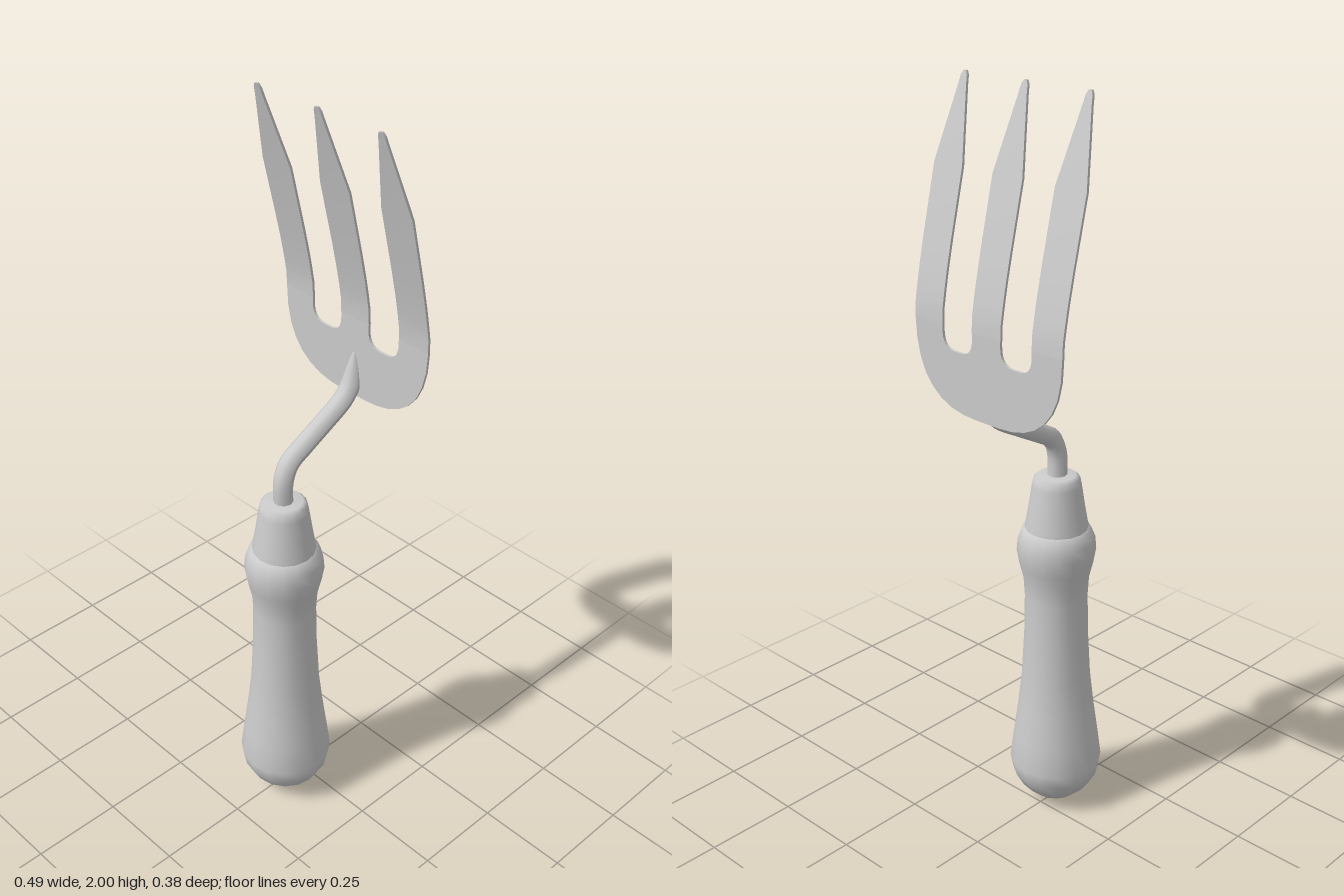
import * as THREE from 'three';

const material = new THREE.MeshStandardMaterial({ color: 0xcccccc });
const HANDLE_Z = 0.061, BLADE_Z = -0.186, THICK = 0.007, SPLIT_Y = 1.42;

function part(name, geometry) {
  const mesh = new THREE.Mesh(geometry, material);
  mesh.name = name;
  return mesh;
}

// Turned part from [radius, height] pairs, bottom to top
function turned(name, profile) {
  const mesh = part(name, new THREE.LatheGeometry(profile.map(([r, y]) => new THREE.Vector2(r, y)), 16));
  mesh.position.z = HANDLE_Z;
  return mesh;
}

// Flat root of the fork with the two rounded slot bottoms
function forkBase() {
  const s = new THREE.Shape();
  s.moveTo(-0.243, SPLIT_Y);
  s.bezierCurveTo(-0.243, 1.26, -0.16, 1.2, -0.04, 1.2);
  s.lineTo(0.04, 1.2);
  s.bezierCurveTo(0.16, 1.2, 0.243, 1.26, 0.243, SPLIT_Y);
  for (const [a, b] of [[0.148, 0.047], [-0.047, -0.148]]) {
    s.lineTo(a, SPLIT_Y);
    s.lineTo(a, 1.405);
    s.quadraticCurveTo(a, 1.36, a - 0.04, 1.36);
    s.lineTo(b + 0.04, 1.36);
    s.quadraticCurveTo(b, 1.36, b, 1.405);
    s.lineTo(b, SPLIT_Y);
  }
  s.closePath();
  const g = new THREE.ExtrudeGeometry(s, { depth: THICK, bevelEnabled: false, curveSegments: 8 });
  return g.translate(0, 0, BLADE_Z - THICK / 2);
}

// Tine: a thin box whose rows follow [height, z, half width]
const rows = [
  [SPLIT_Y, BLADE_Z, 0.0475], [1.46, -0.184, 0.0475], [1.5, -0.177, 0.0475],
  [1.55, -0.167, 0.0475], [1.62, -0.151, 0.0475], [1.79, -0.109, 0.0475],
  [1.97, -0.057, 0.013], [1.99, -0.051, 0.01], [2, -0.048, 0.004],
];
function tine(x) {
  const n = rows.length - 1;
  const g = new THREE.BoxGeometry(2, n, THICK, 1, n, 1).translate(0, n / 2, 0);
  const p = g.attributes.position;
  for (let i = 0; i < p.count; i++) {
    const [y, z, half] = rows[Math.round(p.getY(i))];
    p.setXYZ(i, x + p.getX(i) * half, y, z + p.getZ(i));
  }
  g.computeVertexNormals();
  return g;
}

// Bent shank, tapering to a point where it is welded to the blade
function shank() {
  const path = new THREE.CatmullRomCurve3([
    [0.95, 0.061], [1.05, 0.061], [1.095, 0.04], [1.125, -0.01], [1.165, -0.085],
    [1.2, -0.145], [1.235, -0.172], [1.28, -0.181], [1.325, -0.184],
  ].map(([y, z]) => new THREE.Vector3(0, y, z)));
  const segments = 40, sides = 10;
  const g = new THREE.TubeGeometry(path, segments, 0.026, sides);
  const p = g.attributes.position, v = new THREE.Vector3();
  for (let i = 0; i < p.count; i++) {
    const u = Math.floor(i / (sides + 1)) / segments;
    const centre = path.getPointAt(u);
    const taper = u < 0.8 ? 1 : 1 - 0.85 * ((u - 0.8) / 0.2) ** 1.6;
    v.fromBufferAttribute(p, i).sub(centre).multiplyScalar(taper).add(centre);
    // keep the weld from showing behind the blade
    p.setXYZ(i, v.x, v.y, Math.max(v.z, BLADE_Z));
  }
  g.computeVertexNormals();
  return g;
}

export function createModel() {
  const model = new THREE.Group();
  model.name = 'handFork';

  model.add(turned('handle', [
    [0, 0.003], [0.03, 0.008], [0.062, 0.025], [0.097, 0.058], [0.118, 0.095], [0.126, 0.135],
    [0.116, 0.215], [0.103, 0.31], [0.093, 0.4], [0.086, 0.53], [0.084, 0.64], [0.087, 0.69],
    [0.098, 0.735], [0.105, 0.775], [0.102, 0.81], [0.092, 0.835], [0.08, 0.843],
  ]));
  model.add(turned('ferrule', [
    [0.084, 0.838], [0.083, 0.848], [0.074, 0.9], [0.065, 0.96], [0.061, 0.98], [0.05, 0.989], [0, 0.99],
  ]));
  model.add(part('shank', shank()));

  const fork = new THREE.Group();
  fork.name = 'fork';
  fork.add(part('forkBase', forkBase()));
  [['rightTine', -0.1955], ['middleTine', 0], ['leftTine', 0.1955]]
    .forEach(([name, x]) => fork.add(part(name, tine(x))));
  model.add(fork);
  return model;
}
